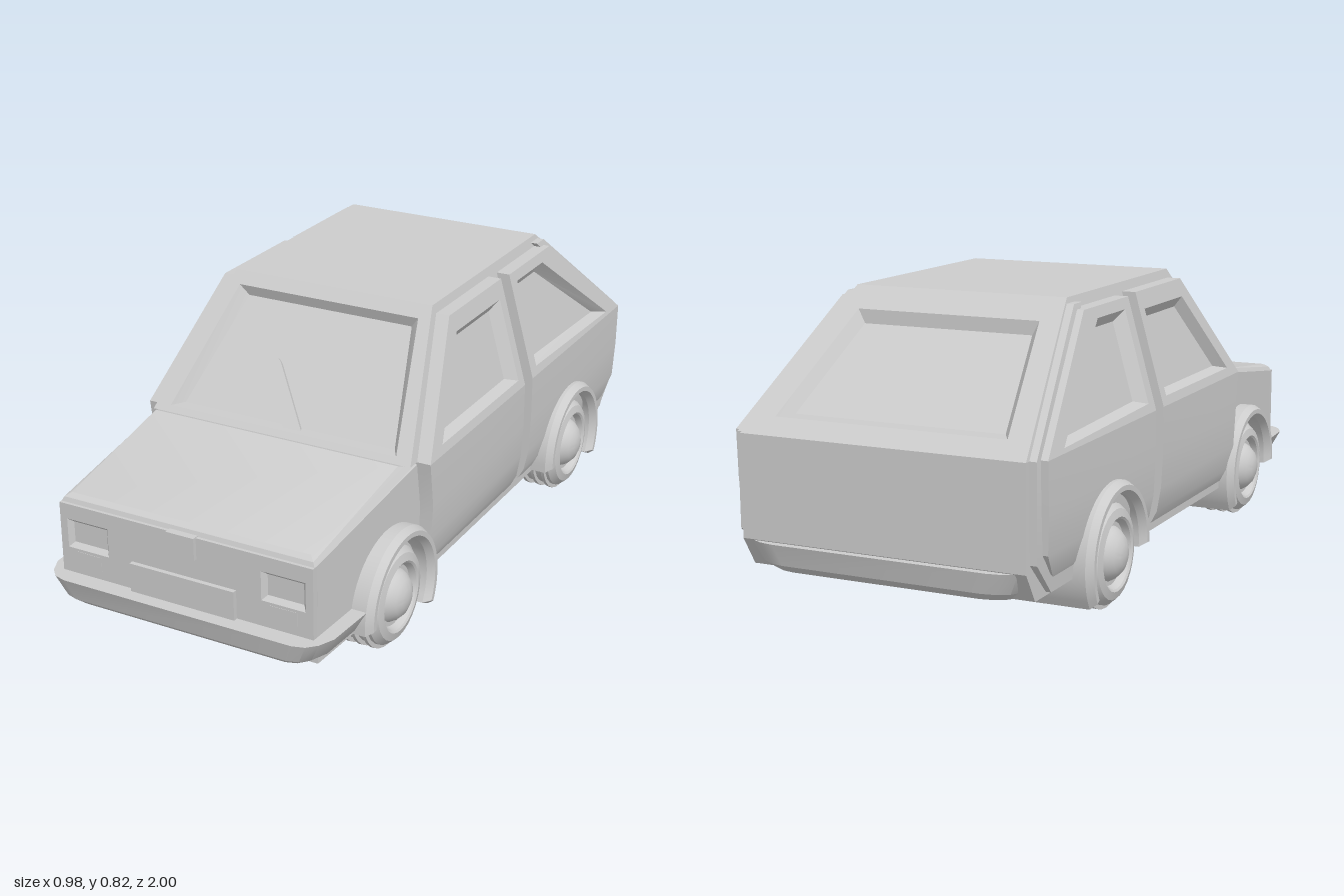
import * as THREE from 'three';
import { toCreasedNormals } from 'three/addons/utils/BufferGeometryUtils.js';

const grey = new THREE.MeshStandardMaterial({ color: 0xcccccc });

// Surface through a list of point loops, optionally capped by the last loop.
function skin(loops, closed = true, cap = true) {
  const pos = [], v = p => new THREE.Vector3(...p);
  const tri = (a, b, c) => {
    const n = v(b).sub(v(a)).cross(v(c).sub(v(a)));
    if (n.length() > 1e-9) pos.push(...a, ...b, ...c);
  };
  for (let k = 0; k + 1 < loops.length; k++) {
    const a = loops[k], b = loops[k + 1], n = a.length;
    for (let i = 0; i < (closed ? n : n - 1); i++) {
      const j = (i + 1) % n;
      tri(a[i], a[j], b[j]);
      tri(a[i], b[j], b[i]);
    }
  }
  const end = loops[loops.length - 1];
  if (cap) for (let i = 1; i + 1 < end.length; i++) tri(end[0], end[i], end[i + 1]);
  const g = new THREE.BufferGeometry();
  g.setAttribute('position', new THREE.Float32BufferAttribute(pos, 3));
  return g;
}

// Copy reflected in x, with the corner order turned round.
function mirrored(geo) {
  const g = geo.index ? geo.toNonIndexed() : geo.clone();
  const p = g.attributes.position, a = new THREE.Vector3(), b = new THREE.Vector3();
  g.scale(-1, 1, 1);
  for (let i = 0; i < p.count; i += 3) {
    a.fromBufferAttribute(p, i + 1);
    b.fromBufferAttribute(p, i + 2);
    p.setXYZ(i + 1, b.x, b.y, b.z);
    p.setXYZ(i + 2, a.x, a.y, a.z);
  }
  return g;
}

// Side profile (z, y) extruded across the whole width.
function across(shape, half, bevel = 0) {
  const depth = 2 * (half - bevel);
  return new THREE.ExtrudeGeometry(shape, {
    depth, curveSegments: 24, bevelEnabled: bevel > 0,
    bevelThickness: bevel, bevelSize: 0.012, bevelSegments: 1
  }).translate(0, 0, -depth / 2).rotateY(-Math.PI / 2);
}

const axles = { front: 0.575, rear: -0.545 }, hubY = 0.15;
const BELT = 0.48, ROOF = 0.82;
const up = y => (y - BELT) / (ROOF - BELT);
const cabinX = y => 0.41 - 0.095 * up(y);

export function createModel() {
  const car = new THREE.Group();
  car.name = 'car';
  const add = (name, geo) => {
    const mesh = new THREE.Mesh(toCreasedNormals(geo, 0.5), grey);
    mesh.name = name;
    car.add(mesh);
  };
  const pair = (name, geo) => {
    add(name + 'Left', geo);
    add(name + 'Right', mirrored(geo));
  };

  // Lower body with wheel wells
  const well = (s, z) => s.absarc(z, hubY, 0.165, Math.PI + 0.183, -0.183, true);
  const main = new THREE.Shape();
  main.moveTo(0.41, BELT).lineTo(-0.98, BELT).lineTo(-0.98, 0.2).lineTo(-0.93, 0.12);
  well(main, axles.rear);
  main.lineTo(0.41, 0.12);
  add('lowerBody', across(main, 0.41));

  const nose = new THREE.Shape();
  nose.moveTo(0.41, 0.475).lineTo(0.41, 0.12);
  well(nose, axles.front);
  nose.lineTo(0.93, 0.12).lineTo(0.93, 0.4).lineTo(0.45, 0.47);
  const noseGeo = across(nose, 0.41), np = noseGeo.attributes.position;
  for (let i = 0; i < np.count; i++) np.setX(i, np.getX(i) * (1 - 0.055 * (np.getZ(i) - 0.41) / 0.52));
  add('frontFenders', noseGeo);

  // Bonnet
  const quad = (f, b) => [[-f[0], f[1], f[2]], f, b, [-b[0], b[1], b[2]]];
  add('bonnet', skin([
    quad([0.386, 0.4, 0.94], [0.408, 0.465, 0.44]),
    quad([0.38, 0.412, 0.935], [0.395, 0.48, 0.47]),
    quad([0.365, 0.422, 0.92], [0.385, 0.49, 0.495])]));

  // Roof and cabin sides
  add('roof', skin([quad([0.315, ROOF, 0.16], [0.315, ROOF, -0.54])]));
  const side = (pts, off) => pts.map(([z, y]) => [cabinX(y) + off, y, z]);
  pair('cabinSide', skin([side([[0.47, BELT], [-0.98, BELT], [-0.54, ROOF], [0.16, ROOF]], 0)]));

  // Windscreen and tailgate: frame, bevel and sunken glass
  const screen = (x, y, o) => [x, y + 0.674 * o, 0.47 - 0.31 * up(y) + 0.739 * o];
  const hatch = (x, y, o) => [-x, y + 0.79 * o, -0.98 + 0.44 * up(y) - 0.61 * o];
  const pane = (at, xb, yb, xt, yt, o) => [at(-xb, yb, o), at(xb, yb, o), at(xt, yt, o), at(-xt, yt, o)];
  add('windscreen', skin([
    pane(screen, 0.41, BELT, 0.315, ROOF, 0),
    pane(screen, 0.36, 0.495, 0.287, 0.787, 0),
    pane(screen, 0.335, 0.515, 0.262, 0.775, -0.03)]));
  add('tailgateWindow', skin([
    pane(hatch, 0.41, BELT, 0.315, ROOF, 0),
    pane(hatch, 0.335, 0.52, 0.27, 0.765, 0),
    pane(hatch, 0.305, 0.545, 0.25, 0.75, -0.03)]));
  const wiper = [[0, 0.5], [0.06, 0.5], [-0.08, 0.64], [-0.092, 0.648]];
  add('wiper', skin([-0.03, -0.016].map(o => wiper.map(([x, y]) => screen(x, y, o)))));

  // Raised door and quarter panels with sunken side windows
  const windowPanel = (outline, hole, glass) => skin([
    side(outline, 0), side(outline, 0.04), side(hole, 0.04), side(glass, 0.01)]);
  pair('frontDoorWindow', windowPanel(
    [[0.43, BELT], [-0.19, BELT], [-0.19, 0.795], [0.15, 0.795]],
    [[0.345, 0.505], [-0.155, 0.505], [-0.155, 0.745], [0.13, 0.745]],
    [[0.305, 0.515], [-0.125, 0.515], [-0.125, 0.715], [0.125, 0.715]]));
  pair('rearSideWindow', windowPanel(
    [[-0.245, BELT], [-0.94, BELT], [-0.54, 0.79], [-0.245, 0.79]],
    [[-0.285, 0.505], [-0.84, 0.492], [-0.47, 0.76], [-0.285, 0.76]],
    [[-0.32, 0.515], [-0.79, 0.502], [-0.46, 0.73], [-0.32, 0.73]]));

  // Strips of side panel; each row is y, x, front z, back z
  const strip = rows => skin(rows.map(([y, x, f, b]) =>
    [[x - 0.07, y, f], [x, y, f], [x, y, b], [x - 0.07, y, b]]), false, false);
  pair('frontDoor', strip([
    [0.14, 0.38, 0.41, -0.19], [0.145, 0.415, 0.41, -0.19], [0.18, 0.433, 0.41, -0.19],
    [0.25, 0.445, 0.41, -0.19], [0.35, 0.45, 0.41, -0.19], [BELT, 0.45, 0.43, -0.19]]));
  pair('rearQuarter', strip([
    [0.14, 0.38, -0.245, -0.83], [0.145, 0.415, -0.245, -0.83], [0.18, 0.433, -0.245, -0.88],
    [0.24, 0.445, -0.245, -0.93], [0.35, 0.45, -0.245, -0.935], [BELT, 0.45, -0.245, -0.94]]));
  pair('rearPillarTrim', strip([
    [0.13, 0.38, -0.6, -0.87], [0.13, 0.425, -0.6, -0.87], [0.22, 0.43, -0.8, -0.96],
    [BELT, 0.43, -0.88, -0.962], [0.805, 0.34, -0.5, -0.55], [0.805, 0.3, -0.5, -0.55]]));

  // Front face with headlights and indicators let into it
  const rect = (path, x0, y0, x1, y1) =>
    path.moveTo(x0, y0).lineTo(x1, y0).lineTo(x1, y1).lineTo(x0, y1).closePath();
  const face = rect(new THREE.Shape(), -0.387, 0.19, 0.387, 0.4);
  const lamps = [[0.235, 0.272, 0.365, 0.356], [0.26, 0.222, 0.34, 0.264]];
  for (const [x0, y0, x1, y1] of lamps) {
    face.holes.push(rect(new THREE.Path(), x0, y0, x1, y1), rect(new THREE.Path(), -x1, y0, -x0, y1));
  }
  add('frontFace', new THREE.ExtrudeGeometry(face, { depth: 0.02, bevelEnabled: false }).translate(0, 0, 0.929));
  lamps.forEach(([x0, y0, x1, y1], i) => {
    const ring = (d, z) => [[x0 + d, y0 + d, z], [x1 - d, y0 + d, z], [x1 - d, y1 - d, z], [x0 + d, y1 - d, z]];
    pair(i ? 'indicator' : 'headlight', skin(i ? [ring(0, 0.93), ring(0, 0.95)] : [ring(0, 0.949), ring(0.012, 0.935)]));
  });
  add('frontBadgeBlank', new THREE.BoxGeometry(0.085, 0.063, 0.03).translate(0, 0.371, 0.945));
  add('numberPlate', new THREE.BoxGeometry(0.32, 0.085, 0.03).translate(0, 0.238, 0.947));

  // Bumpers: half plan (x, z) mirrored, narrowing towards the bottom
  const bumper = (half, dir) => {
    const plan = [...half.map(([x, z]) => [-x, z]), ...half.slice().reverse()];
    const level = (y, sx, dz) => plan.map(([x, z]) => [x * sx * dir, y, (z - dz) * dir]);
    const centre = plan.map(() => [0, 0.118, 0.88 * dir]);
    return skin([centre, level(0.118, 0.88, 0.04), level(0.14, 0.93, 0.015), level(0.198, 1, 0)]);
  };
  add('frontBumper', bumper([[0.44, 0.74], [0.43, 0.92], [0.41, 0.965], [0.385, 0.99], [0.35, 1]], 1));
  add('rearBumper', bumper([[0.425, 0.87], [0.41, 0.94], [0.385, 0.975], [0.35, 0.993], [0.31, 1]], -1));

  // Wheel profile (radius, outward distance): tyre with ridges, rim, domed hub
  const profile = [[0, -0.15], [0.09, -0.15], [0.122, -0.143], [0.138, -0.125]];
  for (const y of [-0.11, -0.075, -0.04]) {
    profile.push([0.138, y - 0.005], [0.15, y - 0.005], [0.15, y + 0.005], [0.138, y + 0.005]);
  }
  profile.push([0.138, -0.025], [0.122, -0.006], [0.1, 0], [0.094, -0.004], [0.086, -0.022], [0.074, -0.022],
    [0.066, -0.008], [0.05, 0.008], [0.028, 0.018], [0, 0.022]);
  const wheel = new THREE.LatheGeometry(profile.map(p => new THREE.Vector2(...p)), 28).rotateZ(-Math.PI / 2);

  // Wheels and full-width wheel arches
  for (const [name, z] of Object.entries(axles)) {
    const rear = name === 'rear';
    pair(name + 'Wheel', wheel.clone().translate(rear ? 0.468 : 0.442, hubY, z));
    const arch = new THREE.Shape();
    arch.absarc(z, hubY, 0.185, -0.05, Math.PI + 0.5, false);
    arch.absarc(z, hubY, 0.171, Math.PI + 0.5, -0.05, true);
    add(name + 'WheelArches', across(arch, rear ? 0.48 : 0.457, 0.02));
  }
  return car;
}
